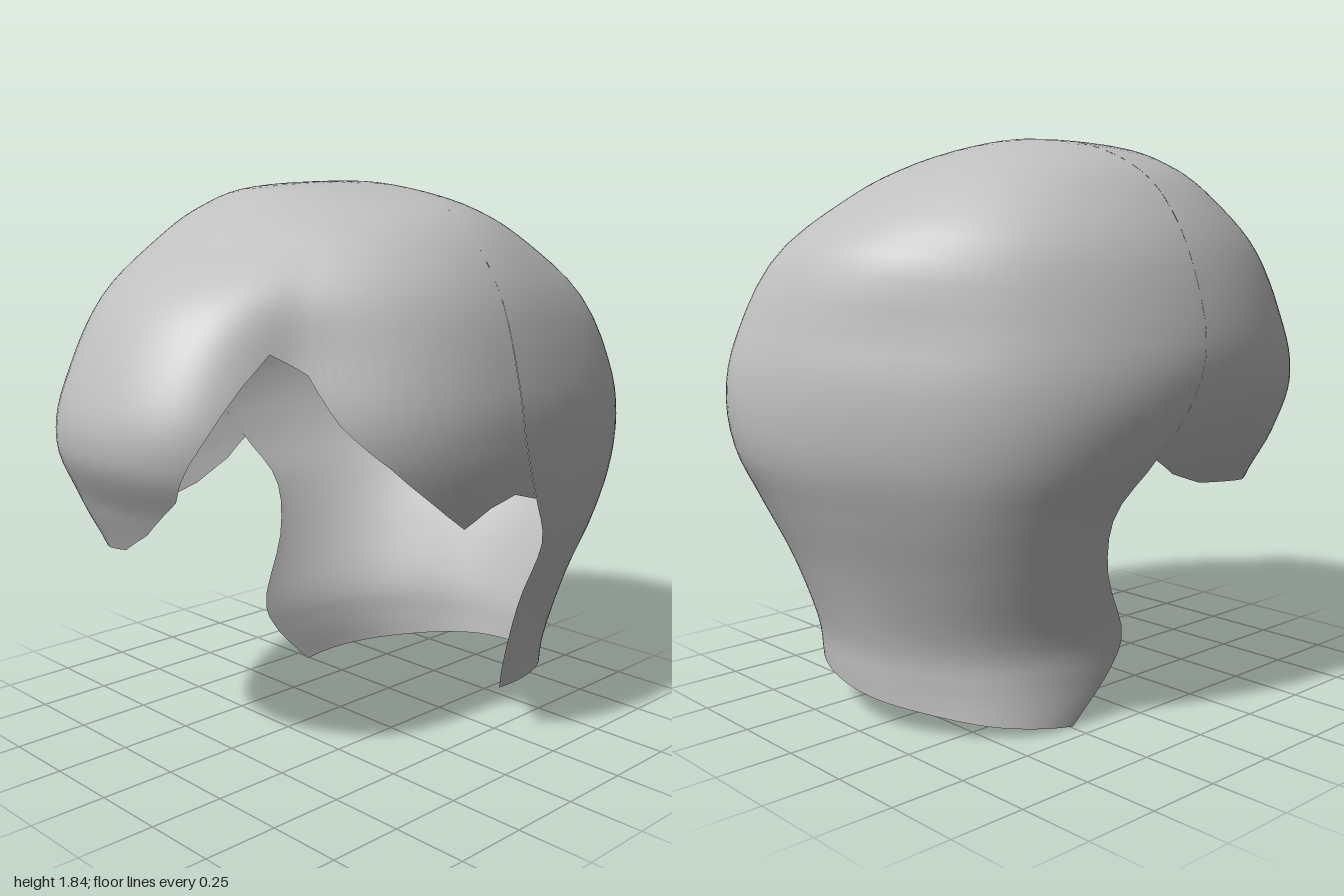
import * as THREE from 'three';

// Horizontal sections, crown to nape:
// y, xRight, xLeft, zBack, zFront, zSideRight, zSideLeft, xFrontApex, xBackApex
const SECTIONS = [
  [1.84, -0.05, -0.05, -0.09, -0.09, -0.09, -0.09, -0.05, -0.05],
  [1.82, -0.27, 0.18, -0.24, 0.28, -0.06, -0.06, -0.06, -0.10],
  [1.76, -0.44, 0.415, -0.43, 0.44, -0.03, -0.04, -0.07, -0.11],
  [1.66, -0.56, 0.56, -0.63, 0.60, 0.00, -0.02, -0.04, -0.03],
  [1.48, -0.675, 0.675, -0.855, 0.835, 0.00, -0.02, 0.01, 0.08],
  [1.23, -0.745, 0.74, -0.96, 0.98, 0.00, -0.03, 0.04, 0.18],
  [1.05, -0.74, 0.75, -0.995, 0.995, -0.05, -0.06, 0.05, 0.21],
  [0.87, -0.675, 0.73, -0.975, 0.90, -0.14, -0.14, 0.05, 0.19],
  [0.70, -0.585, 0.69, -0.90, 0.82, -0.22, -0.23, 0.05, 0.14],
  [0.50, -0.52, 0.635, -0.81, 0.76, -0.18, -0.19, 0.05, 0.10],
  [0.28, -0.47, 0.585, -0.735, 0.74, -0.06, -0.18, 0.05, 0.07],
  [0.15, -0.45, 0.57, -0.72, 0.73, -0.10, -0.18, 0.05, 0.06],
  [0.00, -0.43, 0.56, -0.71, 0.72, -0.24, -0.18, 0.05, 0.05],
];

// Local pushes: amount (minus is inwards), angle, width below and above that
// angle, heights between which the push fades out towards the crown
const PUSHES = [
  [-0.12, 46, 22, 13, 1.3, 1.75], // flat side panel with the parting crease
  [0.11, 133, 28, 26, 0.75, 1.3], // full lower fringe on the right
  [-0.03, 238, 20, 20, 1.2, 1.6], // flatter back right
  [0.035, 315, 25, 22, 1.3, 1.65], // fuller back left
];

// Hem height by angle: 0 = left, 90 = front, 180 = right, 270 = back
const FRONT_HEM = [
  [0, 0.87], [5, 0.9], [11, 0.87], [17.6, 0.81], [28.5, 1.03], [37.5, 1.16], [44.7, 1.3],
  [53, 1.36], [57, 1.28], [63, 1.13], [72, 0.95], [86, 0.82], [99, 0.74],
  [117, 0.7], [137, 0.69], [160, 0.75], [172, 0.81], [180, 0.87],
];
const BACK_HEM = [
  [180, 0], [215, 0.04], [245, 0.08], [270, 0.11], [300, 0.14], [330, 0.17], [360, 0.19],
];
const ROWS = 40;

// Smooth interpolation of one section value at row position r
function sample(k, r) {
  const n = SECTIONS.length - 1;
  const i = Math.min(Math.floor(Math.max(r, 0)), n - 1);
  const t = r - i;
  const b = SECTIONS[i][k], c = SECTIONS[i + 1][k];
  const a = i > 0 ? SECTIONS[i - 1][k] : (k === 0 ? c : 2 * b - c);
  const d = i + 2 <= n ? SECTIONS[i + 2][k] : 2 * c - b;
  return b + 0.5 * t * (c - a + t * (2 * a - 5 * b + 4 * c - d + t * (3 * (b - c) + d - a)));
}

// Combined effect of the local pushes
function pushScale(angle, y) {
  const deg = angle * 180 / Math.PI;
  return PUSHES.reduce((sum, [amount, centre, below, above, fadeStart, fadeEnd]) => {
    const k = (deg - centre) / (deg < centre ? below : above);
    const fade = 1 - THREE.MathUtils.smoothstep(y, fadeStart, fadeEnd);
    return sum + amount * Math.exp(-k * k) * fade;
  }, 1);
}

// Point on the shell at angle (radians) and row position
function shellPoint(angle, r) {
  const c = Math.cos(angle), s = Math.sin(angle);
  const y = sample(0, r);
  const cx = sample(s >= 0 ? 7 : 8, r);
  const side = sample(c < 0 ? 1 : 2, r);
  const cz = sample(c < 0 ? 5 : 6, r);
  const end = sample(s >= 0 ? 4 : 3, r);
  const scale = pushScale(angle, y);
  return new THREE.Vector3(
    cx + Math.abs(c) * (side - cx) * scale,
    y,
    cz + Math.abs(s) * (end - cz) * scale,
  );
}

function rowAtHeight(y) {
  let lo = 0, hi = SECTIONS.length - 1;
  for (let i = 0; i < 30; i++) {
    const mid = (lo + hi) / 2;
    if (sample(0, mid) > y) lo = mid; else hi = mid;
  }
  return hi;
}

function shellNormal(angle, r) {
  if (r < 0.01) return new THREE.Vector3(0, 1, 0);
  const e = 0.004;
  const around = shellPoint(angle + e, r).sub(shellPoint(angle - e, r));
  const down = shellPoint(angle, r + e).sub(shellPoint(angle, r - e));
  return around.cross(down).normalize();
}

// Columns from crown to hem over one range of angles
function hairPanel(hem) {
  const columns = [];
  hem.forEach(([deg, y], i) => {
    if (i === 0) return columns.push([deg, y]);
    const [d0, y0] = hem[i - 1];
    const steps = Math.ceil((deg - d0) / 3);
    for (let j = 1; j <= steps; j++) {
      columns.push([d0 + (deg - d0) * j / steps, y0 + (y - y0) * j / steps]);
    }
  });
  const positions = [], normals = [], index = [];
  columns.forEach(([deg, y], i) => {
    const angle = deg * Math.PI / 180;
    const last = rowAtHeight(y);
    for (let j = 0; j <= ROWS; j++) {
      const r = last * j / ROWS;
      positions.push(...shellPoint(angle, r).toArray());
      normals.push(...shellNormal(angle, r).toArray());
      if (i < columns.length - 1 && j < ROWS) {
        const p = i * (ROWS + 1) + j, q = p + ROWS + 1;
        if (j > 0) index.push(p, q, p + 1);
        index.push(q, q + 1, p + 1);
      }
    }
  });
  const geometry = new THREE.BufferGeometry();
  geometry.setAttribute('position', new THREE.Float32BufferAttribute(positions, 3));
  geometry.setAttribute('normal', new THREE.Float32BufferAttribute(normals, 3));
  geometry.setIndex(index);
  return geometry;
}

export function createModel() {
  const hairGrey = new THREE.MeshStandardMaterial({ color: 0xbfbfbf, side: THREE.DoubleSide });
  hairGrey.name = 'hairGrey';
  const group = new THREE.Group();
  group.name = 'hair';
  // fringe with side parting, then the back hair down to the nape
  for (const [name, hem] of [['fringe', FRONT_HEM], ['backHair', BACK_HEM]]) {
    const mesh = new THREE.Mesh(hairPanel(hem), hairGrey);
    mesh.name = name;
    group.add(mesh);
  }
  return group;
}
